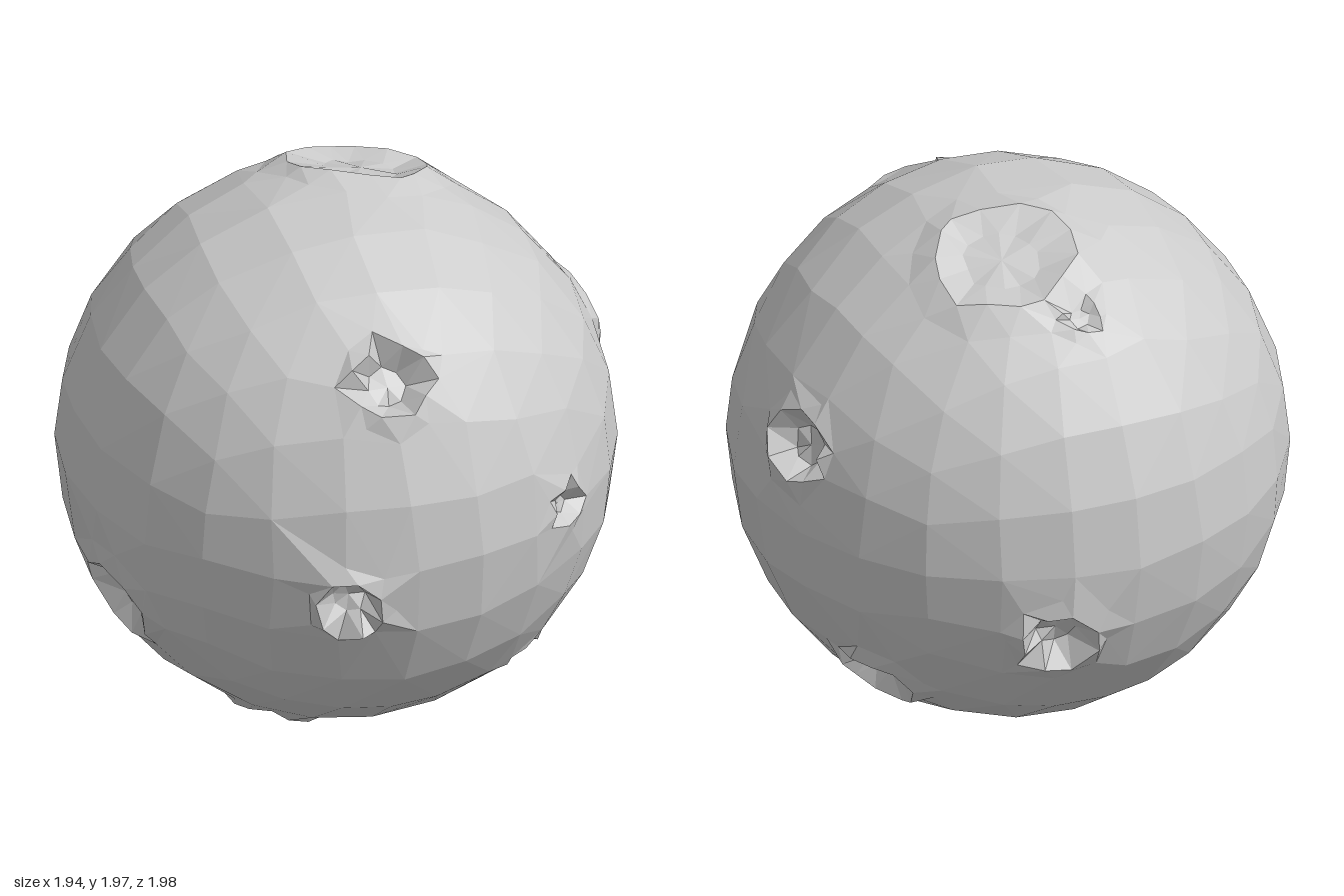
import * as THREE from 'three';
import { ConvexGeometry } from 'three/addons/geometries/ConvexGeometry.js';

const CENTER = new THREE.Vector3(0, 0.975, -0.015);
const RADII = new THREE.Vector3(0.97, 0.975, 0.985);

// Craters: a point on the ball, rim radius, floor depth, rim lift, facets round the rim
const CRATERS = [
  { at: [-0.02, 1.6, 0.73], r: 0.14, depth: 0.07, lift: 0.02, sides: 8 },
  { at: [-0.23, 0.86, 0.94], r: 0.12, depth: 0.08, lift: 0.03, sides: 7 },
  { at: [0.61, 1.02, 0.74], r: 0.08, depth: 0.05, lift: 0.01, sides: 5 },
  { at: [0.5, 0.33, 0.5], r: 0.07, depth: 0.04, lift: 0.01, sides: 5 },
  { at: [-0.29, 0.07, 0.22], r: 0.14, depth: 0.06, lift: 0.025, sides: 7 },
  { at: [0.92, 1.27, -0.17], r: 0.14, depth: 0.08, lift: 0.02, sides: 8 },
  { at: [0.68, 0.39, -0.37], r: 0.14, depth: 0.06, lift: 0.025, sides: 9 },
  { at: [0.27, 0.7, -0.9], r: 0.14, depth: 0.08, lift: 0.02, sides: 8 },
  { at: [0.17, 1.88, -0.29], r: 0.25, depth: 0.03, lift: 0.025, sides: 14 },
  { at: [0.02, 1.76, -0.59], r: 0.07, depth: 0.02, lift: 0.01, sides: 6 },
  { at: [-0.88, 0.61, 0.27], r: 0.16, depth: 0.06, lift: 0.015, sides: 8 },
];

function seeded(seed) {
  return () => {
    seed = (seed * 16807) % 2147483647;
    return seed / 2147483647 - 0.5;
  };
}

const key = (v) => [v.x, v.y, v.z].map(Math.fround).join();

export function createModel() {
  const rand = seeded(77);
  const points = [];
  const heights = new Map();
  const add = (dir, height) => {
    points.push(dir);
    heights.set(key(dir), height);
  };

  const craters = CRATERS.map((c) => ({
    ...c,
    dir: new THREE.Vector3(...c.at).sub(CENTER).divide(RADII).normalize(),
  }));
  const blocked = (dir, self) =>
    craters.some((c) => c !== self && c.dir.angleTo(dir) < c.r * 1.25);

  // Plain ground: a cube grid rounded onto the ball, left out under the craters
  const SEG = 6;
  const seen = new Set();
  for (let i = 0; i <= SEG; i++) {
    for (let j = 0; j <= SEG; j++) {
      const a = Math.tan((i / SEG - 0.5) * Math.PI / 2);
      const b = Math.tan((j / SEG - 0.5) * Math.PI / 2);
      for (const s of [-1, 1]) {
        for (const p of [[s, a, b], [a, s, b], [a, b, s]]) {
          const id = p.map((n) => Math.round(n * 100)).join();
          if (seen.has(id)) continue;
          seen.add(id);
          const dir = new THREE.Vector3(...p).normalize();
          dir.add(new THREE.Vector3(rand(), rand(), rand()).multiplyScalar(0.035)).normalize();
          if (!craters.some((c) => c.dir.angleTo(dir) < c.r * 1.5)) add(dir, 0);
        }
      }
    }
  }

  // Craters: floor, foot of the wall, raised rim and outer slope as jittered rings
  for (const c of craters) {
    const turn = new THREE.Quaternion().setFromUnitVectors(new THREE.Vector3(0, 0, 1), c.dir);
    const rings = [[0.55, -c.depth * 0.9], [1, c.lift], [1.4, 0]];
    add(c.dir.clone(), -c.depth);
    rings.forEach(([scale, height], k) => {
      for (let n = 0; n < c.sides; n++) {
        const t = ((n + k * 0.5 + rand() * 0.4) / c.sides) * Math.PI * 2;
        const angle = c.r * scale * (1 + rand() * 0.2);
        const dir = new THREE.Vector3(
          Math.sin(angle) * Math.cos(t), Math.sin(angle) * Math.sin(t), Math.cos(angle),
        ).applyQuaternion(turn);
        const h = height * (1 + rand() * 0.6);
        if (!blocked(dir, c)) add(dir, h);
      }
    });
  }

  // The hull of the directions joins them into facets, which then take their heights
  const geometry = new ConvexGeometry(points);
  const pos = geometry.attributes.position;
  const v = new THREE.Vector3();
  for (let i = 0; i < pos.count; i++) {
    v.fromBufferAttribute(pos, i);
    const h = heights.get(key(v)) ?? 0;
    v.multiplyScalar(1 + h).multiply(RADII).add(CENTER);
    pos.setXYZ(i, v.x, Math.max(v.y, 0), v.z);
  }
  geometry.computeVertexNormals();

  const ball = new THREE.Mesh(
    geometry,
    new THREE.MeshStandardMaterial({ color: 0xcccccc, flatShading: true }),
  );
  ball.name = 'crateredBall';
  const group = new THREE.Group();
  group.name = 'moon';
  group.add(ball);
  return group;
}
